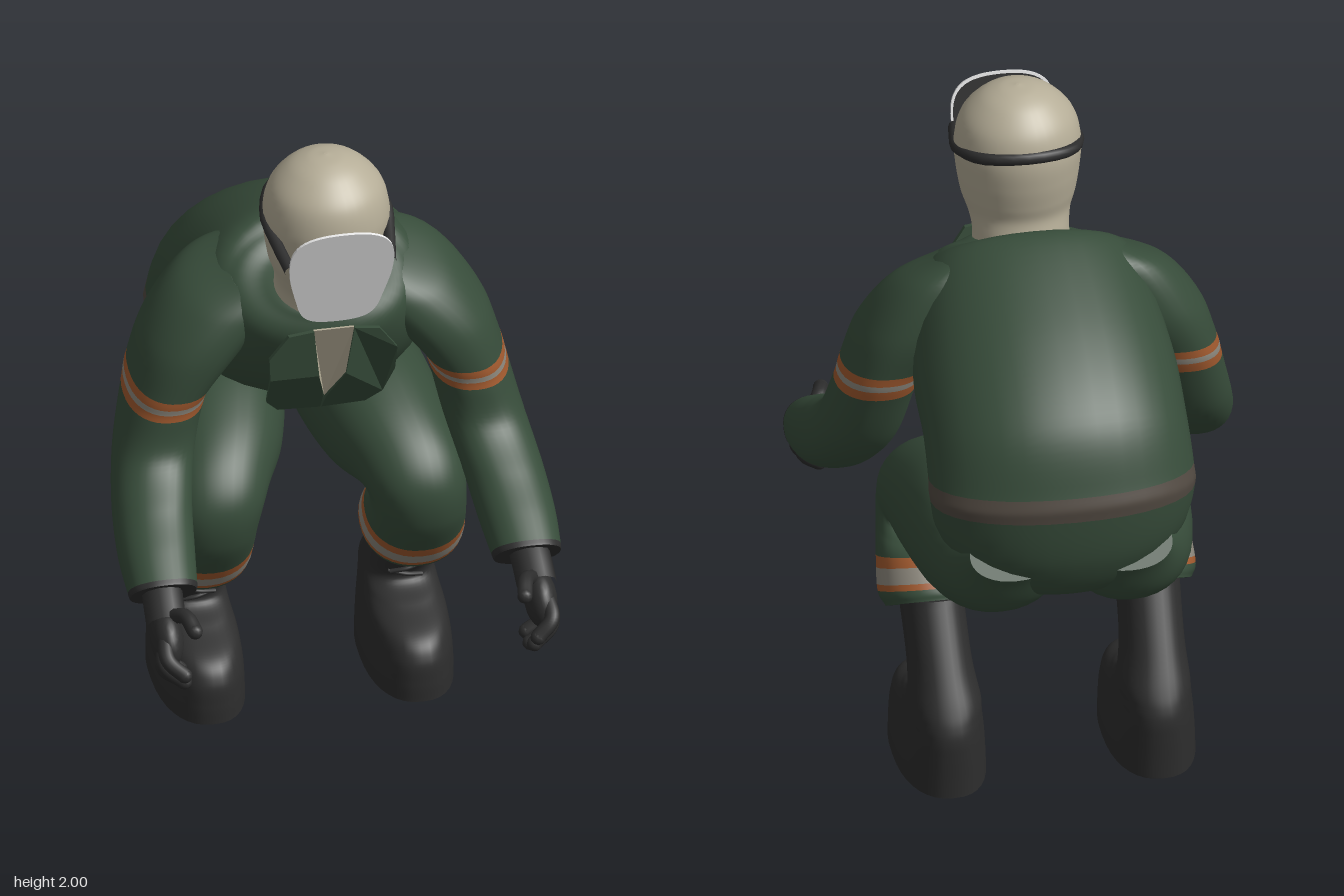
import * as THREE from 'three';

const mat = (name, color) => {
  const m = new THREE.MeshStandardMaterial({ color });
  m.name = name;
  return m;
};
const V = (x, y, z) => new THREE.Vector3(x, y, z);
const ROWS = 9, SIDES = 36;

// Smooth body through rings [x, frontZ, frontY, backZ, backY, halfWidth].
// bands: { span index: [materials stacked along that span] }
function loft(name, rings, base, { side = 1, pow = 1, bands = {}, cap = base } = {}) {
  const front = new THREE.CatmullRomCurve3(rings.map(r => V(r[0], r[2], r[1])), false, 'catmullrom', 0.5);
  const back = new THREE.CatmullRomCurve3(rings.map(r => V(r[5], r[4], r[3])), false, 'catmullrom', 0.5);
  const spans = rings.length - 1, rows = spans * ROWS;
  const pos = [], index = [];
  const soft = v => Math.sign(v) * Math.abs(v) ** pow;
  const ring = i => {
    const f = front.getPoint(i / rows), b = back.getPoint(i / rows);
    for (let j = 0; j < SIDES; j++) {
      const t = j / SIDES * Math.PI * 2, s = soft(Math.sin(t)) / 2;
      pos.push(side * (f.x + b.x * soft(Math.cos(t))),
        (f.y + b.y) / 2 + (f.y - b.y) * s, (f.z + b.z) / 2 + (f.z - b.z) * s);
    }
    return V(side * f.x, (f.y + b.y) / 2, (f.z + b.z) / 2);
  };
  const mats = [base], groups = [];
  const slot = m => (mats.includes(m) ? mats.indexOf(m) : mats.push(m) - 1);
  for (let i = 0; i <= rows; i++) ring(i);
  for (let i = 0; i < rows; i++) {
    const band = bands[Math.floor(i / ROWS)];
    groups.push([index.length, SIDES * 6, slot(band ? band[Math.floor((i % ROWS) / ROWS * band.length)] : base)]);
    for (let j = 0; j < SIDES; j++) {
      const a = i * SIDES + j, b = i * SIDES + (j + 1) % SIDES;
      index.push(a, a + SIDES, b, b, a + SIDES, b + SIDES);
    }
  }
  // end caps with their own corners, so the rim stays sharp
  for (const end of [0, rows]) {
    const start = pos.length / 3, c = ring(end);
    pos.push(c.x, c.y, c.z);
    groups.push([index.length, SIDES * 3, slot(end ? cap : base)]);
    for (let j = 0; j < SIDES; j++) {
      const a = start + j, b = start + (j + 1) % SIDES;
      end ? index.push(start + SIDES, b, a) : index.push(start + SIDES, a, b);
    }
  }
  // turn all faces outward
  let volume = 0;
  const p = k => V(pos[3 * k], pos[3 * k + 1], pos[3 * k + 2]);
  for (let k = 0; k < index.length; k += 3) volume += p(index[k]).dot(p(index[k + 1]).cross(p(index[k + 2])));
  if (volume < 0) for (let k = 0; k < index.length; k += 3) [index[k], index[k + 1]] = [index[k + 1], index[k]];
  const g = new THREE.BufferGeometry();
  g.setAttribute('position', new THREE.Float32BufferAttribute(pos, 3));
  g.setIndex(index);
  groups.forEach(q => g.addGroup(...q));
  g.computeVertexNormals();
  const mesh = new THREE.Mesh(g, mats);
  mesh.name = name;
  return mesh;
}

export function createModel() {
  const green = mat('suit green', 0x374c3a), dark = mat('rubber black', 0x2d2d2d);
  const beige = mat('hood beige', 0xb5ad97), silver = mat('visor grey', 0xe6e6e6);
  const orange = mat('stripe orange', 0xa0592e), grey = mat('stripe grey', 0x8c877c);
  const brown = mat('belt brown', 0x514941);
  const model = new THREE.Group();
  model.name = 'crouchingWorker';
  const add = (name, geometry, material, parent = model) => {
    const m = new THREE.Mesh(geometry, material);
    m.name = name;
    parent.add(m);
    return m;
  };
  const tube = (name, pts, r, parent) =>
    add(name, new THREE.TubeGeometry(new THREE.CatmullRomCurve3(pts), 24, r, 10), dark, parent);

  // hunched torso with waist belt
  model.add(loft('torso', [
    [0, -0.42, 0.82, -0.54, 0.77, 0.1], [0, -0.3, 0.85, -0.65, 0.78, 0.25],
    [0, -0.24, 0.95, -0.725, 0.91, 0.36], [0, -0.26, 1.02, -0.75, 1.08, 0.39],
    [0, -0.23, 1.06, -0.74, 1.155, 0.39], [0, -0.12, 1.055, -0.65, 1.35, 0.385],
    [0, 0.04, 1.07, -0.42, 1.52, 0.38], [0, 0.19, 1.2, -0.1, 1.655, 0.335],
    [0, 0.285, 1.38, -0.01, 1.62, 0.26], [0, 0.28, 1.47, 0.03, 1.575, 0.17], [0, 0.26, 1.5, 0.06, 1.56, 0.12],
  ], green, { pow: 0.92, bands: { 3: [brown] } }));

  // hooded head and neck
  model.add(loft('head', [
    [0, 0.28, 1.46, 0.04, 1.53, 0.145], [0, 0.29, 1.53, 0.045, 1.57, 0.142],
    [0, 0.325, 1.585, 0.055, 1.62, 0.15], [0, 0.375, 1.66, 0.045, 1.67, 0.17],
    [0, 0.4, 1.74, 0.033, 1.74, 0.182], [0, 0.405, 1.82, 0.03, 1.82, 0.186],
    [0, 0.385, 1.9, 0.05, 1.9, 0.166], [0, 0.33, 1.96, 0.1, 1.96, 0.115],
    [0, 0.275, 1.99, 0.155, 1.99, 0.06], [0, 0.22, 2, 0.21, 2, 0.005],
  ], beige));
  const half = [[0.148, 1.745, 0.43], [0.168, 1.775, 0.31], [0.178, 1.805, 0.21], [0.128, 1.838, 0.083]];
  tube('headStrap', [...half.map(p => V(...p)), V(0, 1.85, 0.04),
    ...half.slice().reverse().map(p => V(-p[0], p[1], p[2]))], 0.018);

  // flat tilted face shield, dark on the inside
  const shield = new THREE.Shape();
  shield.moveTo(0, -0.185);
  shield.bezierCurveTo(0.08, -0.185, 0.11, -0.17, 0.125, -0.1);
  shield.bezierCurveTo(0.14, -0.04, 0.155, 0, 0.155, 0.07);
  shield.bezierCurveTo(0.155, 0.16, 0.1, 0.185, 0, 0.185);
  shield.bezierCurveTo(-0.1, 0.185, -0.155, 0.16, -0.155, 0.07);
  shield.bezierCurveTo(-0.155, 0, -0.14, -0.04, -0.125, -0.1);
  shield.bezierCurveTo(-0.11, -0.17, -0.08, -0.185, 0, -0.185);
  const visor = new THREE.Group();
  visor.name = 'visor';
  visor.position.set(0, 1.71, 0.43);
  visor.rotation.x = 0.27;
  model.add(visor);
  add('shield', new THREE.ExtrudeGeometry(shield, { depth: 0.008, bevelEnabled: false }), silver, visor);
  const inner = add('shieldInside', new THREE.ShapeGeometry(shield), dark, visor);
  inner.rotation.y = Math.PI;
  inner.position.z = -0.003;
  inner.scale.set(0.96, 0.96, 1);

  // open jacket front: two lapels over an undershirt
  const chest = y => y > 1.3 ? 0.3 + (y - 1.3) * 0.15 : 0.18 + (y - 1.15) * 0.8;
  const panel = (name, pts, depth, offset, material) => {
    const g = new THREE.ExtrudeGeometry(new THREE.Shape(pts.map(p => new THREE.Vector2(...p))), { depth, bevelEnabled: false });
    const a = g.attributes.position;
    for (let i = 0; i < a.count; i++) a.setZ(i, a.getZ(i) + chest(a.getY(i)) + offset);
    g.computeVertexNormals();
    add(name, g, material);
  };
  panel('undershirt', [[0, 1.15], [0.04, 1.3], [0.06, 1.47], [-0.06, 1.47], [-0.04, 1.3]], 0.008, 0.004, beige);
  for (const s of [1, -1]) {
    const pts = [[0.002, 1.08], [0.13, 1.09], [0.172, 1.15], [0.185, 1.3], [0.19, 1.38], [0.135, 1.46],
      [0.06, 1.47], [0.04, 1.3], [0.005, 1.15]].map(([x, y]) => [s * x, y]);
    panel('lapel', pts, 0.014, 0.005, green);
  }

  for (const s of [1, -1]) {
    const P = (x, y, z) => V(s * x, y, z);
    // sleeve with reflective band and dark cuff
    model.add(loft('sleeve', [
      [0.19, 0.17, 1.5, -0.07, 1.6, 0.07], [0.26, 0.205, 1.43, -0.13, 1.535, 0.145],
      [0.355, 0.225, 1.32, -0.15, 1.38, 0.15], [0.43, 0.22, 1.19, -0.13, 1.245, 0.122],
      [0.453, 0.215, 1.125, -0.11, 1.165, 0.117], [0.49, 0.24, 1.01, -0.03, 0.97, 0.118],
      [0.52, 0.36, 0.92, 0.1, 0.83, 0.116], [0.535, 0.47, 0.855, 0.27, 0.725, 0.112],
      [0.54, 0.55, 0.805, 0.425, 0.668, 0.102], [0.541, 0.565, 0.795, 0.445, 0.66, 0.098],
    ], green, { side: s, pow: 0.88, bands: { 3: [orange, grey, orange], 8: [dark] }, cap: dark }));

    // gloved hand
    const hand = new THREE.Group();
    hand.name = 'glove';
    model.add(hand);
    tube('wrist', [P(0.54, 0.77, 0.45), P(0.547, 0.725, 0.53), P(0.55, 0.68, 0.6)], 0.06, hand);
    const palm = add('palm', new THREE.SphereGeometry(1, 20, 14), dark, hand);
    palm.position.copy(P(0.555, 0.65, 0.625));
    palm.scale.set(0.048, 0.075, 0.09);
    palm.rotation.x = 0.6;
    const fingers = [
      [P(0.565, 0.68, 0.65), P(0.57, 0.635, 0.72), P(0.525, 0.59, 0.74)],
      [P(0.565, 0.66, 0.65), P(0.575, 0.6, 0.69), P(0.52, 0.55, 0.71)],
      [P(0.56, 0.64, 0.63), P(0.57, 0.57, 0.655), P(0.515, 0.53, 0.67)],
      [P(0.555, 0.63, 0.6), P(0.56, 0.57, 0.61), P(0.515, 0.535, 0.615)],
      [P(0.54, 0.71, 0.6), P(0.505, 0.74, 0.66), P(0.49, 0.725, 0.72)],
    ];
    fingers.forEach((f, i) => {
      tube(i < 4 ? 'finger' : 'thumb', f, 0.023, hand);
      add('fingertip', new THREE.SphereGeometry(0.023, 10, 8), dark, hand).position.copy(f[2]);
    });

    // trouser leg: buttock, thigh forward, shin down and back
    model.add(loft('trouserLeg', [
      [0.17, -0.6, 1.0, -0.7, 0.87, 0.13], [0.19, -0.43, 1.03, -0.61, 0.72, 0.188],
      [0.215, -0.22, 1.035, -0.42, 0.635, 0.2],
      [0.25, -0.02, 0.975, -0.2, 0.62, 0.185], [0.285, 0.12, 0.89, -0.07, 0.645, 0.16],
      [0.3, 0.195, 0.78, -0.07, 0.66, 0.145], [0.31, 0.185, 0.65, -0.11, 0.66, 0.14],
      [0.313, 0.115, 0.525, -0.165, 0.655, 0.148], [0.315, 0.05, 0.435, -0.235, 0.585, 0.153],
      [0.315, 0.0, 0.4, -0.25, 0.555, 0.135],
    ], green, { side: s, pow: 0.92, bands: { 7: [orange, grey, grey, orange] } }));

    // boot and laces
    model.add(loft('boot', [
      [0.31, 0.11, 0, -0.45, 0, 0.132], [0.31, 0.112, 0.06, -0.452, 0.06, 0.13],
      [0.31, 0.105, 0.13, -0.455, 0.13, 0.125], [0.31, 0.06, 0.185, -0.455, 0.18, 0.118],
      [0.31, -0.06, 0.225, -0.445, 0.22, 0.11], [0.31, -0.15, 0.265, -0.42, 0.27, 0.104],
      [0.315, -0.1, 0.35, -0.36, 0.37, 0.093], [0.32, -0.01, 0.46, -0.25, 0.55, 0.092],
    ], dark, { side: s, pow: 0.85 }));
    for (let i = 0; i < 4; i++) {
      const y = 0.285 + i * 0.035, z = -0.148 + i * 0.026, d = i % 2 ? 0.012 : -0.012;
      tube('lace', [P(0.26, y - d, z - 0.005), P(0.31, y, z + 0.006), P(0.36, y + d, z - 0.005)], 0.007);
    }
  }
  return model;
}
